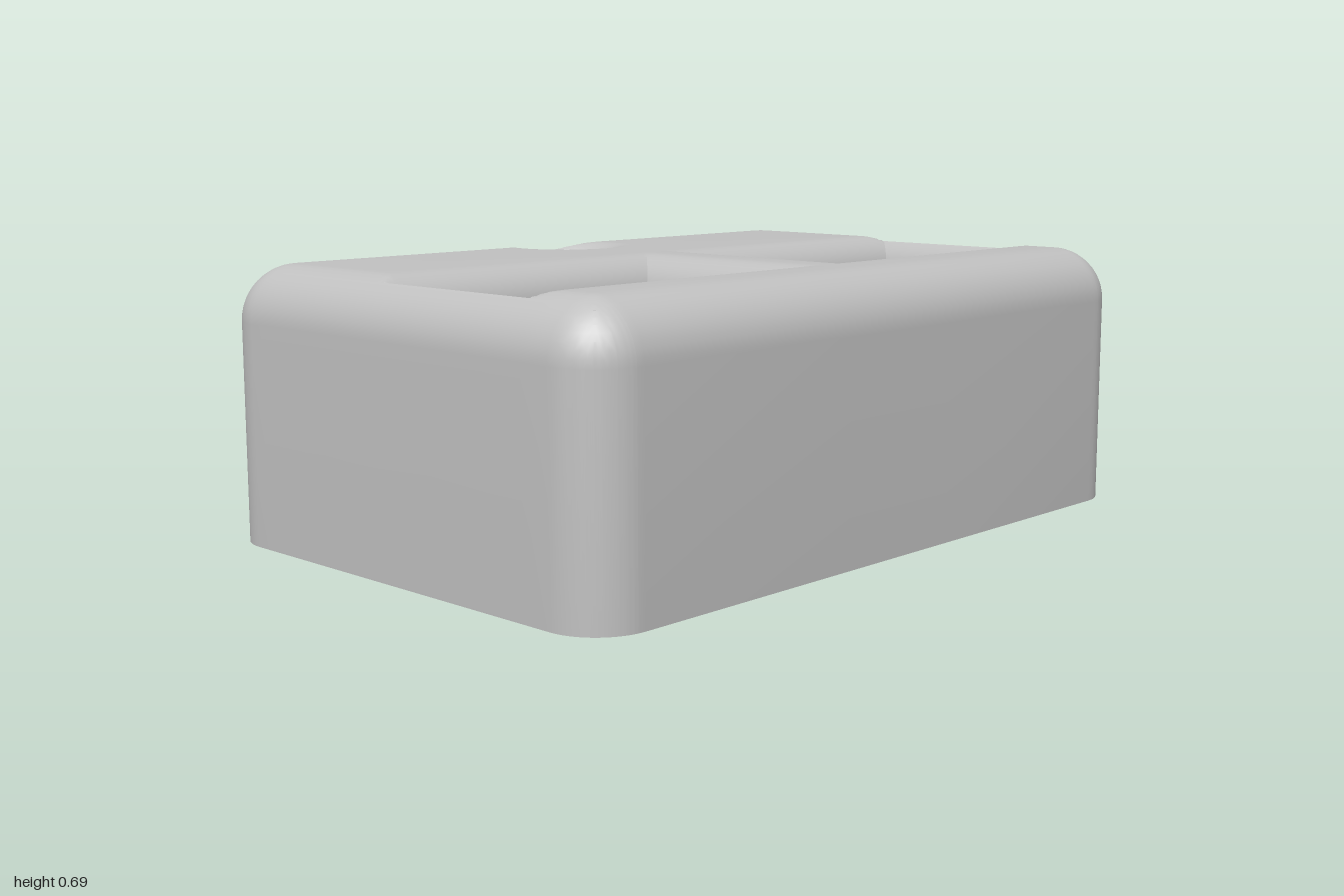
import * as THREE from 'three';
import { toCreasedNormals } from 'three/addons/utils/BufferGeometryUtils.js';

const X = 1, Z = 0.67, H = 0.69, R = 0.14;                   // outer body, edge radius
const IX = 0.96, IZ = 0.6, CEIL = 0.59, SHOULDER = H - R;    // cavity
const WIN = { x0: 0.13, x1: 0.88, z0: -0.05, z1: 0.35, fillet: H - CEIL, crest: 0.926 }; // mirrored in x
const HOLE = { z: -0.495, r: 0.09, fillet: 0.08 };           // hole in the top
const PATCH = { x: 0.19, z0: -0.645, z1: -0.32 };            // area meshed around that hole
const PORT = { x: 0.38, y: 0.3, r: 0.065 };                  // holes in the back

// Drop of a quarter-round edge at distance d from that edge
const drop = (d, r) => (d >= r ? 0 : r - Math.sqrt(Math.max(0, r * r - (r - d) ** 2)));

// Height of the top: rounded body, cut by the window and hole fillets
function height(x, z) {
  const ax = Math.abs(x);
  const e = Math.hypot(Math.max(ax - X + R, 0), Math.max(Math.abs(z) - Z + R, 0));
  const dx = Math.max(WIN.x0 - ax, ax - WIN.x1, 0);
  const dz = Math.max(WIN.z0 - z, z - WIN.z1, 0);
  const dh = Math.max(Math.hypot(x, z - HOLE.z) - HOLE.r, 0);
  return H - Math.max(drop(R - e, R), drop(Math.max(dx, dz), WIN.fillet), drop(dh, HOLE.fillet));
}

// Grid point on the top; corner squares are pulled into quarter discs
function topPoint(x, z) {
  const u = Math.abs(x) - X + R, v = Math.abs(z) - Z + R;
  if (u > 1e-6 && v > 1e-6) {
    const s = Math.max(u, v) / Math.hypot(u, v);
    x = Math.sign(x) * (X - R + u * s);
    z = Math.sign(z) * (Z - R + v * s);
  }
  return [x, height(x, z), z];
}

// Adds a grid of quads, folding each along its lower diagonal
function addSheet(out, rows, skip = () => false) {
  for (let i = 0; i < rows.length - 1; i++) {
    for (let j = 0; j < rows[i].length - 1; j++) {
      if (skip(i, j)) continue;
      const a = rows[i][j], b = rows[i][j + 1], c = rows[i + 1][j + 1], d = rows[i + 1][j];
      const tris = a[1] + c[1] <= b[1] + d[1] ? [a, b, c, a, c, d] : [a, b, d, b, c, d];
      for (const p of tris) out.push(...p);
    }
  }
}

const tidy = (list) => [...new Set(list.map((v) => Math.round(v * 1e5) / 1e5))].sort((a, b) => a - b);
const ease = (i, n) => 1 - Math.cos((i / n) * Math.PI / 2);
const curveSteps = (r) => Array.from({ length: 13 }, (_, i) => r * ease(i, 12));

function shellGeometry() {
  // Grid lines, closer together where the edges curve
  const edge = curveSteps(R), lip = curveSteps(WIN.fillet);
  const half = [0, ...lip.map((k) => WIN.x0 - k), PATCH.x, X - R, WIN.crest,
    ...lip.map((k) => WIN.x1 + k).filter((x) => x < WIN.crest),
    ...edge.map((k) => X - k).filter((x) => x > WIN.crest)];
  const xs = tidy([...half, ...half.filter((v) => v > 0).map((v) => -v)]);
  const zs = tidy([PATCH.z0, -0.49, -0.45, -0.41, -0.37, PATCH.z1,
    ...edge.flatMap((k) => [k - Z, Z - k]),
    ...lip.flatMap((k) => [WIN.z0 - k, WIN.z1 + k])]);
  const grid = xs.map((x) => zs.map((z) => topPoint(x, z)));
  const out = [];
  addSheet(out, grid, (i, j) => {
    const x = Math.abs(xs[i] + xs[i + 1]) / 2, z = (zs[j] + zs[j + 1]) / 2;
    return (x > WIN.x0 && x < WIN.x1 && z > WIN.z0 && z < WIN.z1)
      || (x < PATCH.x && z > PATCH.z0 && z < PATCH.z1);
  });

  // Rings from the round hole out to the rectangular gap in the grid
  const px = xs.filter((x) => Math.abs(x) < PATCH.x + 1e-6);
  const pz = zs.filter((z) => z > PATCH.z0 - 1e-6 && z < PATCH.z1 + 1e-6);
  const border = [
    ...pz.map((z) => [PATCH.x, z]),
    ...[...px].reverse().slice(1).map((x) => [x, PATCH.z1]),
    ...[...pz].reverse().slice(1).map((z) => [-PATCH.x, z]),
    ...px.slice(1).map((x) => [x, PATCH.z0]),
  ];
  const rings = Array.from({ length: 29 }, (_, i) => border.map(([x, z]) => {
    const a = Math.atan2(z - HOLE.z, x), t = ease(i, 28);
    const qx = THREE.MathUtils.lerp(HOLE.r * Math.cos(a), x, t);
    const qz = THREE.MathUtils.lerp(HOLE.z + HOLE.r * Math.sin(a), z, t);
    return [qx, height(qx, qz), qz];
  }));
  addSheet(out, rings);

  // Outer side walls, leaving the flat of the back open
  const n = xs.length - 1, m = zs.length - 1, path = [];
  for (let i = 0; i <= n; i++) if (xs[i] > X - R - 1e-6) path.push(grid[i][0]);
  for (let j = 1; j <= m; j++) path.push(grid[n][j]);
  for (let i = n - 1; i >= 0; i--) path.push(grid[i][m]);
  for (let j = m - 1; j >= 0; j--) path.push(grid[0][j]);
  for (let i = 1; i <= n; i++) if (xs[i] < R - X + 1e-6) path.push(grid[i][0]);
  addSheet(out, [path, path.map(([x, , z]) => [x, 0, z])]);

  const geo = new THREE.BufferGeometry();
  geo.setAttribute('position', new THREE.Float32BufferAttribute(out, 3));
  return toCreasedNormals(geo, 0.5);
}

// Flat outline helpers
function rect(x0, y0, x1, y1, Type = THREE.Path) {
  const p = new Type();
  p.moveTo(x0, y0); p.lineTo(x1, y0); p.lineTo(x1, y1); p.lineTo(x0, y1); p.closePath();
  return p;
}
const circle = (x, y, r) => new THREE.Path().absarc(x, y, r, 0, Math.PI * 2);

function plate(shape, holes) {
  shape.holes.push(...holes);
  return new THREE.ShapeGeometry(shape, 24);
}

export function createModel() {
  const group = new THREE.Group();
  const grey = new THREE.MeshStandardMaterial({ color: 0xc0c0c0, side: THREE.DoubleSide });
  grey.name = 'light grey';
  const add = (name, geo, x = 0, y = 0, z = 0) => {
    const mesh = new THREE.Mesh(geo, grey);
    mesh.name = name;
    mesh.position.set(x, y, z);
    group.add(mesh);
  };

  add('outerShell', shellGeometry());

  // Back wall, outside and inside, with two round ports
  const ports = () => [-1, 1].map((s) => circle(s * PORT.x, PORT.y, PORT.r));
  add('backWall', plate(rect(R - X, 0, X - R, SHOULDER, THREE.Shape), ports()).rotateY(Math.PI), 0, 0, -Z);
  add('innerBackWall', plate(rect(-IX, 0, IX, CEIL, THREE.Shape), ports()), 0, 0, -IZ);
  for (const s of [-1, 1]) {
    const tube = new THREE.CylinderGeometry(PORT.r, PORT.r, Z - IZ, 48, 1, true).rotateX(Math.PI / 2);
    add('portLining', tube.scale(-1, 1, 1), s * PORT.x, PORT.y, -(Z + IZ) / 2);
  }

  // Remaining inner walls
  add('innerFrontWall', new THREE.PlaneGeometry(2 * IX, CEIL).rotateY(Math.PI), 0, CEIL / 2, IZ);
  for (const s of [-1, 1]) {
    add('innerSideWall', new THREE.PlaneGeometry(2 * IZ, CEIL).rotateY(-s * Math.PI / 2), s * IX, CEIL / 2, 0);
  }

  // Ceiling with both windows and the round hole
  const ceiling = plate(rect(-IX, -IZ, IX, IZ, THREE.Shape), [
    rect(WIN.x0, WIN.z0, WIN.x1, WIN.z1), rect(-WIN.x1, WIN.z0, -WIN.x0, WIN.z1),
    circle(0, HOLE.z, HOLE.r),
  ]);
  add('ceiling', ceiling.rotateX(Math.PI / 2), 0, CEIL, 0);
  const bore = H - HOLE.fillet - CEIL;
  add('holeLining', new THREE.CylinderGeometry(HOLE.r, HOLE.r, bore, 64, 1, true).scale(-1, 1, 1),
    0, CEIL + bore / 2, HOLE.z);

  // Bottom rim
  const foot = new THREE.Shape();
  const cx = X - R, cz = Z - R, q = Math.PI / 2;
  foot.absarc(cx, cz, R, 0, q);
  foot.absarc(-cx, cz, R, q, 2 * q);
  foot.absarc(-cx, -cz, R, 2 * q, 3 * q);
  foot.absarc(cx, -cz, R, 3 * q, 4 * q);
  add('bottomRim', plate(foot, [rect(-IX, -IZ, IX, IZ)]).rotateX(Math.PI / 2));
  return group;
}
